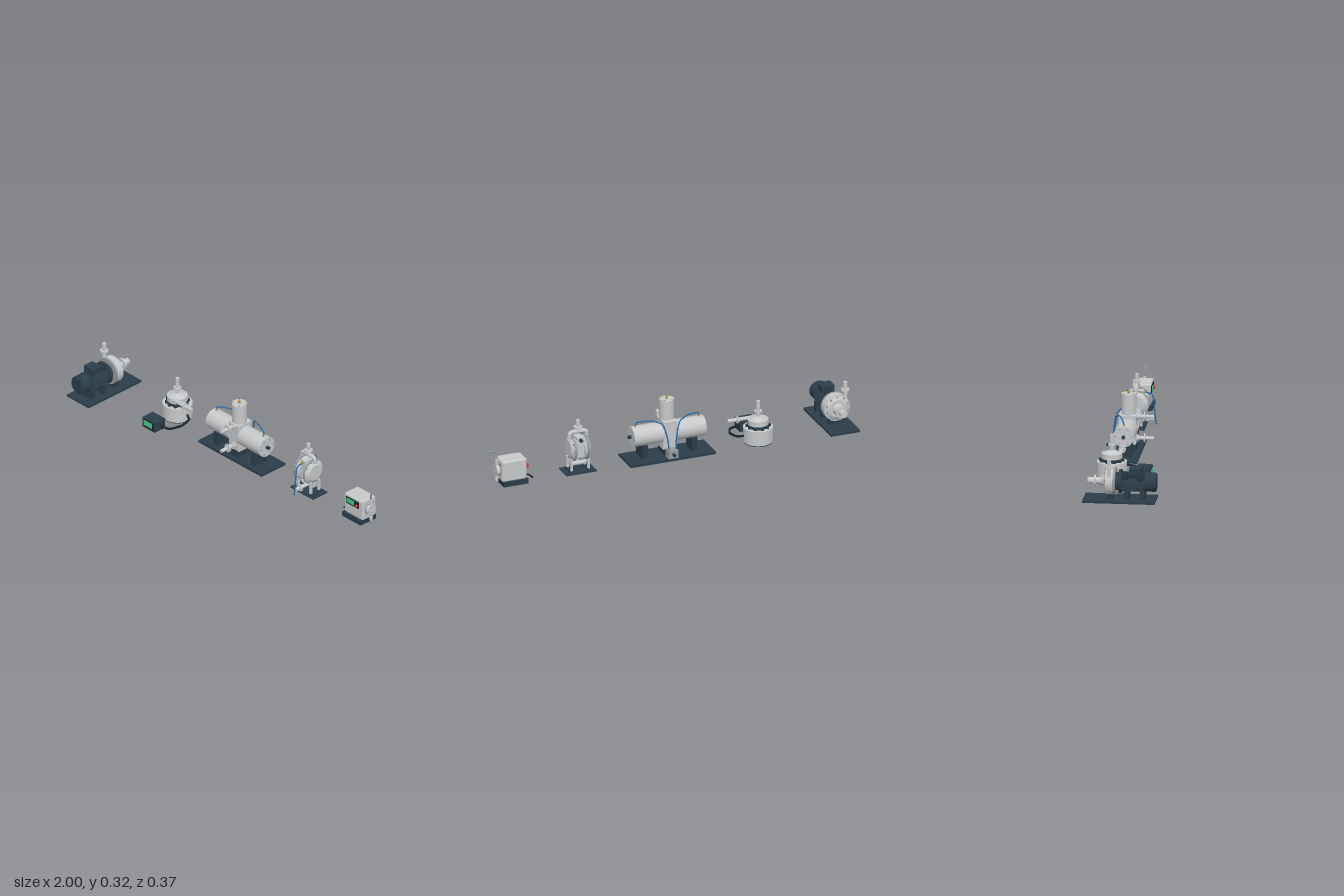
import * as THREE from 'three';
import { RoundedBoxGeometry } from 'three/addons/geometries/RoundedBoxGeometry.js';

const mat = (name, color) => { const m = new THREE.MeshStandardMaterial({ color }); m.name = name; return m; };
const steel = mat('light steel', 0xc6c8ca), mid = mat('mid grey steel', 0x959b9f), dark = mat('dark navy paint', 0x2b3d4a);
const black = mat('black rubber', 0x1b242b), blue = mat('blue hose', 0x2a6cab), green = mat('green screen', 0x3fcf8e);
const red = mat('red switch', 0xc8402f), brass = mat('brass', 0xb8923a);

function add(g, name, geo, m, x = 0, y = 0, z = 0) {
  const mesh = new THREE.Mesh(geo, m);
  mesh.name = name;
  mesh.position.set(x, y, z);
  g.add(mesh);
  return mesh;
}
// box given by its min and max on each axis
function box(g, name, m, x0, x1, y0, y1, z0, z1, r = 0) {
  const s = [x1 - x0, y1 - y0, z1 - z0];
  const geo = r ? new RoundedBoxGeometry(...s, 3, r) : new THREE.BoxGeometry(...s);
  return add(g, name, geo, m, (x0 + x1) / 2, (y0 + y1) / 2, (z0 + z1) / 2);
}
// cylinder or cone between two points
function rod(g, name, m, a, b, r, r2 = r, sides = 32) {
  const A = new THREE.Vector3(...a), B = new THREE.Vector3(...b), d = B.clone().sub(A);
  const mesh = add(g, name, new THREE.CylinderGeometry(r2, r, d.length(), sides), m);
  mesh.position.copy(A).lerp(B, 0.5);
  mesh.quaternion.setFromUnitVectors(new THREE.Vector3(0, 1, 0), d.normalize());
  return mesh;
}
function hose(g, name, m, pts, r) {
  const curve = new THREE.CatmullRomCurve3(pts.map(p => new THREE.Vector3(...p)), false, 'catmullrom', 0.25);
  return add(g, name, new THREE.TubeGeometry(curve, 40, r, 10), m);
}
// ring of bolt heads around a point, facing along the chosen axis
function bolts(g, m, c, axis, ring, n, r, len) {
  for (let i = 0; i < n; i++) {
    const t = (i + 0.5) / n * Math.PI * 2, u = Math.cos(t) * ring, v = Math.sin(t) * ring;
    const o = axis === 'x' ? [0, u, v] : axis === 'y' ? [u, 0, v] : [u, v, 0];
    const p = c.map((k, j) => k + o[j]), q = [...p];
    q['xyz'.indexOf(axis)] += len;
    rod(g, 'bolt', m, p, q, r, r, 6);
  }
}
const pump = name => { const g = new THREE.Group(); g.name = name; return g; };

function centrifugalPump() {
  const g = pump('centrifugalPump'), x = -0.922, y = 0.098;
  box(g, 'basePlate', dark, -1, -0.842, 0, 0.011, -0.185, 0.18);
  // motor with cooling fins
  rod(g, 'motorBody', dark, [x, y, 0.13], [x, y, 0], 0.044);
  rod(g, 'fanCowl', dark, [x, y, 0.125], [x, y, 0.177], 0.049);
  rod(g, 'fanCowlRim', dark, [x, y, 0.177], [x, y, 0.183], 0.049, 0.043);
  for (let i = 0; i < 28; i++) {
    const f = add(g, 'coolingFin', new THREE.BoxGeometry(0.1, 0.0025, 0.122), dark, x, y, 0.066);
    f.rotation.z = i / 28 * Math.PI;
  }
  box(g, 'terminalBox', dark, x - 0.035, x + 0.035, 0.135, 0.172, 0.046, 0.107, 0.003);
  for (const z of [0.02, 0.1]) box(g, 'motorFoot', dark, x - 0.045, x + 0.045, 0.011, 0.065, z, z + 0.026);
  // bearing frame and volute
  rod(g, 'motorFlange', dark, [x, y, 0.008], [x, y, -0.006], 0.06);
  rod(g, 'adapter', dark, [x, y, -0.006], [x, y, -0.03], 0.045);
  rod(g, 'backPlate', mid, [x, y, -0.022], [x, y, -0.034], 0.07, 0.07, 48);
  rod(g, 'volute', steel, [x, y, -0.034], [x, y, -0.07], 0.07, 0.07, 48);
  rod(g, 'voluteFront', steel, [x, y, -0.07], [x, y, -0.082], 0.066, 0.045, 48);
  bolts(g, mid, [x, y, -0.068], 'z', 0.06, 10, 0.005, -0.01);
  box(g, 'pumpFoot', dark, x - 0.04, x + 0.04, 0.011, 0.04, -0.065, -0.035);
  rod(g, 'suctionNozzle', steel, [x, y, -0.08], [x, y, -0.165], 0.017);
  rod(g, 'suctionFlange', steel, [x, y, -0.122], [x, y, -0.132], 0.03);
  rod(g, 'suctionHub', steel, [x, y, -0.078], [x, y, -0.1], 0.032, 0.02);
  rod(g, 'dischargeNozzle', steel, [x - 0.052, y, -0.052], [x - 0.052, 0.226, -0.052], 0.011);
  rod(g, 'dischargeFlange', steel, [x - 0.052, 0.18, -0.052], [x - 0.052, 0.188, -0.052], 0.022);
  return g;
}

function canisterPump() {
  const g = pump('canisterPump'), x = -0.484, z = -0.093;
  rod(g, 'canisterFoot', dark, [x, 0, z], [x, 0.005, z], 0.074, 0.074, 48);
  rod(g, 'canister', steel, [x, 0.005, z], [x, 0.082, z], 0.076, 0.076, 48);
  rod(g, 'darkCollar', dark, [x, 0.082, z], [x, 0.098, z], 0.052, 0.052, 48);
  bolts(g, dark, [x, 0.082, z], 'y', 0.055, 10, 0.009, 0.014);
  rod(g, 'pumpHead', steel, [x, 0.098, z], [x, 0.124, z], 0.053, 0.053, 48);
  rod(g, 'headDome', steel, [x, 0.124, z], [x, 0.138, z], 0.045, 0.018, 48);
  rod(g, 'inletPipe', steel, [x, 0.13, z], [x, 0.222, z], 0.01);
  rod(g, 'inletFlange', steel, [x, 0.163, z], [x, 0.17, z], 0.02);
  rod(g, 'outletPipe', steel, [x, 0.117, z + 0.041], [-0.335, 0.117, z + 0.041], 0.01);
  rod(g, 'outletFlange', steel, [-0.392, 0.117, z + 0.041], [-0.384, 0.117, z + 0.041], 0.019);
  // separate controller
  box(g, 'controller', dark, -0.529, -0.438, 0.003, 0.06, 0.035, 0.107, 0.002);
  box(g, 'controllerBezel', black, -0.523, -0.444, 0.01, 0.054, 0.106, 0.109);
  box(g, 'controllerScreen', green, -0.517, -0.455, 0.02, 0.049, 0.108, 0.111);
  hose(g, 'controllerCable', black, [[-0.44, 0.028, 0.065], [-0.39, 0.025, 0.05], [-0.365, 0.03, -0.01],
    [-0.375, 0.036, -0.07], [-0.41, 0.04, -0.09]], 0.006);
  return g;
}

function pneumaticPump() {
  const g = pump('twinCylinderPump'), z = -0.067, y = 0.128;
  box(g, 'basePlate', dark, -0.228, 0.232, 0, 0.012, -0.16, 0.005);
  box(g, 'centrePedestal', dark, -0.03, 0.03, 0.012, 0.05, z - 0.045, z + 0.045);
  box(g, 'centreBlock', steel, -0.038, 0.038, 0.045, 0.2, z - 0.045, z + 0.045, 0.005);
  for (const s of [-1, 1]) {
    box(g, 'cylinderSupport', dark, s * 0.135 - 0.015, s * 0.135 + 0.015, 0.012, 0.085, z - 0.04, z + 0.04);
    rod(g, 'sideCylinder', steel, [s * 0.035, y, z], [s * 0.195, y, z], 0.053, 0.053, 48);
    rod(g, 'endBoss', dark, [s * 0.195, y, z], [s * 0.211, y, z], 0.009);
    bolts(g, mid, [s * 0.194, y, z], 'x', 0.042, 6, 0.004, s * 0.005);
    rod(g, 'hoseFitting', brass, [s * 0.172, 0.178, z], [s * 0.172, 0.19, z], 0.005);
    hose(g, 'airHose', blue, [[s * 0.172, 0.185, z], [s * 0.165, 0.205, -0.074], [s * 0.1, 0.211, -0.095],
      [s * 0.045, 0.192, -0.122], [s * 0.025, 0.12, -0.135], [s * 0.018, 0.05, -0.142]], 0.0035);
  }
  // upright cylinder
  rod(g, 'uprightCylinder', steel, [0, 0.195, -0.062], [0, 0.304, -0.062], 0.038, 0.038, 48);
  bolts(g, brass, [0, 0.302, -0.062], 'y', 0.031, 4, 0.003, 0.005);
  rod(g, 'topFitting', brass, [0, 0.304, -0.062], [0, 0.318, -0.062], 0.006);
  // inlet and outlet ports
  for (const py of [0.185, 0.073]) {
    rod(g, 'portBoss', steel, [0, py, -0.025], [0, py, -0.012], 0.018);
    rod(g, 'port', steel, [0, py, -0.03], [0, py, 0.065], 0.0095);
    rod(g, 'portFlange', steel, [0, py, 0.015], [0, py, 0.022], 0.022);
  }
  // rear valve block
  box(g, 'valveBlock', mid, -0.026, 0.026, 0.012, 0.055, -0.156, -0.11);
  rod(g, 'valvePlug', dark, [0, 0.034, -0.15], [0, 0.034, -0.174], 0.008);
  return g;
}

function diaphragmPump() {
  const g = pump('diaphragmPump'), x = 0.487, y = 0.128, z = -0.077;
  box(g, 'basePlate', dark, 0.404, 0.57, 0, 0.006, -0.13, -0.03);
  box(g, 'centreBlock', steel, x - 0.028, x + 0.028, 0.08, 0.18, z - 0.035, z + 0.035, 0.004);
  for (const s of [-1, 1]) {
    // flanged diaphragm chamber
    rod(g, 'innerChamber', steel, [x + s * 0.018, y, z], [x + s * 0.03, y, z], 0.045, 0.06, 48);
    rod(g, 'clampRing', mid, [x + s * 0.03, y, z], [x + s * 0.039, y, z], 0.068, 0.068, 48);
    rod(g, 'outerChamber', steel, [x + s * 0.039, y, z], [x + s * 0.054, y, z], 0.063, 0.042, 48);
    bolts(g, mid, [x + s * 0.037, y, z], 'x', 0.063, 10, 0.004, s * 0.007);
    hose(g, 'manifoldElbow', steel, [[x, 0.213, z], [x + s * 0.03, 0.213, z], [x + s * 0.044, 0.205, z],
      [x + s * 0.046, 0.18, z]], 0.011);
    hose(g, 'lowerElbow', steel, [[x, 0.04, z], [x + s * 0.03, 0.04, z], [x + s * 0.044, 0.05, z],
      [x + s * 0.046, 0.075, z]], 0.011);
    for (const dz of [-0.028, 0.028])
      box(g, 'leg', steel, x + s * 0.046 - 0.006, x + s * 0.046 + 0.006, 0.005, 0.075, z + dz - 0.006, z + dz + 0.006);
    box(g, 'foot', dark, x + s * 0.046 - 0.01, x + s * 0.046 + 0.01, 0.006, 0.014, z - 0.038, z + 0.038);
  }
  rod(g, 'dischargePipe', steel, [x, 0.21, z], [x, 0.275, z], 0.01);
  rod(g, 'dischargeFlange', steel, [x, 0.233, z], [x, 0.24, z], 0.022);
  rod(g, 'suctionPipe', steel, [x, 0.04, z], [x, 0.04, 0.01], 0.01);
  rod(g, 'suctionFlange', steel, [x, 0.04, -0.022], [x, 0.04, -0.015], 0.02);
  // air supply and exhaust
  box(g, 'airValve', steel, x - 0.018, x + 0.018, 0.16, 0.19, z - 0.035, z + 0.035);
  rod(g, 'airFitting', brass, [x, 0.178, -0.045], [x, 0.178, -0.03], 0.005);
  hose(g, 'airHose', blue, [[x, 0.178, -0.034], [x, 0.175, -0.012], [x, 0.16, 0.005], [x, 0.08, 0.014], [x, 0.012, 0.021]], 0.0035);
  rod(g, 'exhaustMuffler', dark, [x, 0.178, -0.105], [x, 0.178, -0.126], 0.009);
  return g;
}

function dosingPump() {
  const g = pump('dosingPump'), z = -0.087, y = 0.08;
  box(g, 'base', dark, 0.78, 0.914, 0, 0.026, -0.137, -0.032);
  box(g, 'housing', steel, 0.786, 0.92, 0.026, 0.137, -0.134, -0.04, 0.009);
  // front control panel
  box(g, 'panel', black, 0.802, 0.894, 0.086, 0.124, -0.041, -0.037);
  box(g, 'screen', green, 0.81, 0.862, 0.094, 0.118, -0.038, -0.035);
  rod(g, 'panelKnob', red, [0.88, 0.1, -0.038], [0.88, 0.1, -0.029], 0.008);
  // side switch, indicator and power cable
  box(g, 'sideSwitch', red, 0.768, 0.787, 0.07, 0.095, -0.107, -0.083, 0.002);
  box(g, 'indicator', red, 0.919, 0.925, 0.107, 0.114, -0.11, -0.102);
  hose(g, 'powerCable', black, [[0.79, 0.045, -0.12], [0.772, 0.042, -0.122], [0.752, 0.022, -0.11], [0.735, 0.006, -0.085]], 0.004);
  // liquid end
  rod(g, 'headRing', mid, [0.915, y, z], [0.924, y, z], 0.031);
  rod(g, 'head', steel, [0.924, y, z], [0.941, y, z], 0.029);
  bolts(g, mid, [0.94, y, z], 'x', 0.024, 6, 0.003, 0.004);
  for (const s of [-1, 1]) {
    rod(g, 'valve', steel, [0.932, y + s * 0.025, z], [0.932, y + s * 0.06, z], 0.008);
    rod(g, 'valveNut', steel, [0.932, y + s * 0.04, z], [0.932, y + s * 0.048, z], 0.01, 0.01, 6);
  }
  rod(g, 'suctionTube', mid, [0.932, 0.03, z], [0.932, 0, z], 0.004);
  hose(g, 'dischargeTube', mid, [[0.932, 0.13, z], [0.932, 0.165, z], [0.938, 0.182, z], [0.952, 0.186, z], [1, 0.186, z]], 0.004);
  return g;
}

export function createModel() {
  const model = new THREE.Group();
  model.name = 'pumpSet';
  model.add(centrifugalPump(), canisterPump(), pneumaticPump(), diaphragmPump(), dosingPump());
  return model;
}
